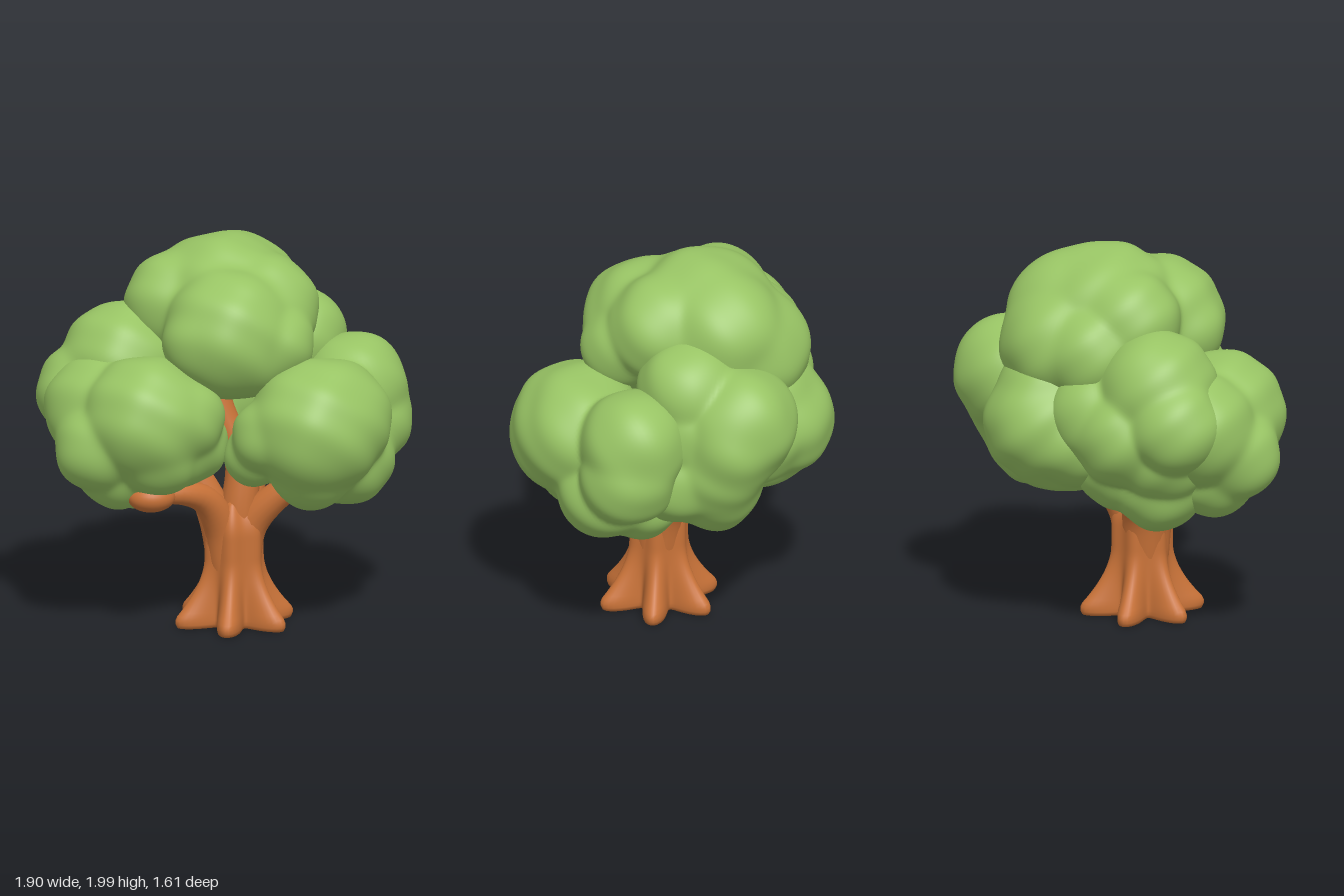
import * as THREE from 'three';
import { mergeVertices } from 'three/addons/utils/BufferGeometryUtils.js';

// Weld vertices and rebuild soft normals
function smooth(geometry) {
  geometry.deleteAttribute('uv');
  geometry.deleteAttribute('normal');
  const g = mergeVertices(geometry, 1e-4);
  g.computeVertexNormals();
  return g;
}

// Foliage clump: a sphere pushed out to the soft union of its lobes [x, y, z, radius]
function clumpGeometry(lobes) {
  const centre = new THREE.Vector3();
  lobes.forEach(([x, y, z]) => centre.add(new THREE.Vector3(x, y, z)));
  centre.divideScalar(lobes.length);
  const offsets = lobes.map(([x, y, z]) => new THREE.Vector3(x, y, z).sub(centre));
  const g = new THREE.IcosahedronGeometry(1, 26);
  const p = g.attributes.position;
  const d = new THREE.Vector3();
  const sharpness = 60;
  for (let i = 0; i < p.count; i++) {
    d.fromBufferAttribute(p, i).normalize();
    let sum = Math.exp(sharpness * 0.12);
    offsets.forEach((o, j) => {
      const along = d.dot(o);
      const disc = along * along - o.lengthSq() + lobes[j][3] ** 2;
      if (disc > 0) sum += Math.exp(sharpness * (along + Math.sqrt(disc)));
    });
    const reach = Math.log(sum) / sharpness - 0.006;
    d.multiplyScalar(reach).add(centre);
    // gentle leafy unevenness
    const bump = 0.008 * Math.sin(d.x * 17 + d.y * 9) * Math.sin(d.y * 15 - d.z * 13);
    d.sub(centre).multiplyScalar(1 + bump / reach).add(centre);
    p.setXYZ(i, d.x, d.y, d.z);
  }
  return smooth(g);
}

// Trunk: cylinder whose radius swells into six roots at the ground
// and closes in at the top between the branches
function trunkGeometry() {
  const height = 0.66;
  const g = new THREE.CylinderGeometry(1, 1, height, 112, 33);
  const p = g.attributes.position;
  for (let i = 0; i < p.count; i++) {
    const x = p.getX(i), z = p.getZ(i), y = p.getY(i) + height / 2;
    const angle = Math.atan2(z, x);
    const flare = Math.max(0, 1 - Math.max(0, y - 0.05) / 0.3) ** 1.8;
    const ridge = (0.5 + 0.5 * Math.cos(6 * (angle - 0.96))) ** 1.1;
    const r = 0.138 + 0.012 * flare + (0.022 + 0.15 * flare) * ridge
      - 0.07 * Math.max(0, (y - 0.48) / 0.18) ** 2 - (y < 0.01 ? 0.01 : 0);
    p.setXYZ(i, x * r, y, z * r);
  }
  return smooth(g);
}

// Branch: tube along a curve, tapering from r0 to r1
function branchGeometry(points, r0, r1) {
  const curve = new THREE.CatmullRomCurve3(points.map((q) => new THREE.Vector3(...q)));
  const rings = 20, sides = 16;
  const g = new THREE.TubeGeometry(curve, rings, r0, sides);
  const p = g.attributes.position;
  const v = new THREE.Vector3();
  for (let i = 0; i < p.count; i++) {
    const t = Math.floor(i / (sides + 1)) / rings;
    const c = curve.getPointAt(t);
    v.fromBufferAttribute(p, i).sub(c).multiplyScalar(1 + (r1 / r0 - 1) * t).add(c);
    p.setXYZ(i, v.x, v.y, v.z);
  }
  return smooth(g);
}

const clumps = {
  crownFoliage: [
    [0.02, 1.6, -0.13, 0.4], [-0.04, 1.55, 0.17, 0.34], [0.14, 1.62, -0.26, 0.33],
    [-0.22, 1.64, -0.16, 0.27], [0.06, 1.5, -0.38, 0.32], [0.02, 1.46, 0.22, 0.24],
    [0.19, 1.64, 0.05, 0.28], [-0.2, 1.52, 0.22, 0.2], [0.18, 1.5, 0.27, 0.2],
    [-0.17, 1.5, -0.36, 0.25],
  ],
  frontRightFoliage: [
    [-0.5, 1.15, 0.22, 0.33], [-0.66, 1.15, -0.05, 0.29], [-0.73, 1.0, 0.14, 0.23],
    [-0.6, 0.88, 0.08, 0.23], [-0.3, 0.99, 0.18, 0.22], [-0.46, 0.96, 0.27, 0.21],
    [-0.32, 1.15, 0.27, 0.22], [-0.22, 0.97, 0.15, 0.18],
  ],
  frontLeftFoliage: [
    [0.33, 1.1, 0.46, 0.35], [0.65, 1.2, 0.1, 0.28], [0.7, 1.03, 0.12, 0.25],
    [0.55, 0.88, 0.26, 0.26], [0.09, 1.06, 0.41, 0.19], [0.45, 0.8, 0.1, 0.22],
    [0.43, 1.13, 0.42, 0.31], [0.4, 1.0, 0.55, 0.19], [0.05, 0.93, 0.3, 0.16],
    [0.32, 0.89, 0.44, 0.23],
  ],
  backRightFoliage: [
    [-0.5, 1.35, -0.19, 0.31], [-0.69, 1.2, -0.22, 0.25], [-0.43, 1.12, -0.35, 0.27],
    [-0.45, 0.82, -0.14, 0.24], [-0.24, 1.2, -0.38, 0.26], [-0.56, 1.02, -0.2, 0.24],
    [-0.28, 0.9, -0.27, 0.22],
  ],
  backLeftFoliage: [
    [0.44, 1.27, -0.41, 0.3], [0.52, 1.17, -0.38, 0.25], [0.48, 1.02, -0.3, 0.26],
    [0.42, 0.88, -0.28, 0.23], [0.41, 1.42, -0.14, 0.27], [0.5, 0.97, -0.1, 0.25],
    [0.38, 0.84, -0.12, 0.19], [0.48, 1.22, -0.15, 0.24],
  ],
  backFoliage: [
    [0.04, 1.11, -0.52, 0.3], [0.06, 1.26, -0.47, 0.26], [0.05, 0.96, -0.44, 0.23],
    [-0.12, 1.04, -0.44, 0.24], [0.22, 1.1, -0.44, 0.26], [-0.03, 0.94, -0.35, 0.2],
  ],
};

// Each branch: path, start radius, end radius
const branches = {
  frontRightBranch: [[[-0.02, 0.3, 0.11], [-0.07, 0.52, 0.13], [-0.17, 0.68, 0.18], [-0.3, 0.74, 0.23], [-0.48, 0.75, 0.26]], 0.11, 0.045],
  rightBranch: [[[-0.02, 0.3, 0.1], [-0.08, 0.55, 0.09], [-0.18, 0.78, 0.05], [-0.38, 1.0, 0]], 0.11, 0.055],
  frontLeftBranch: [[[0.03, 0.3, 0.11], [0.08, 0.52, 0.14], [0.19, 0.67, 0.21], [0.38, 0.82, 0.32]], 0.11, 0.055],
  backLeftBranch: [[[0.03, 0.3, 0.09], [0.08, 0.56, 0.04], [0.18, 0.78, -0.1], [0.34, 1.0, -0.26]], 0.11, 0.06],
  backRightBranch: [[[-0.01, 0.3, 0.09], [-0.06, 0.56, 0.03], [-0.17, 0.76, -0.1], [-0.34, 0.98, -0.25]], 0.11, 0.055],
  crownBranch: [[[0.01, 0.3, 0.1], [0.03, 0.6, 0.12], [0.05, 0.85, 0.1], [-0.04, 1.1, 0.05], [-0.1, 1.4, 0]], 0.11, 0.06],
};

export function createModel() {
  const bark = new THREE.MeshStandardMaterial({ color: 0xc87238 });
  bark.name = 'bark';
  const leaves = new THREE.MeshStandardMaterial({ color: 0x98c464 });
  leaves.name = 'leaves';

  const model = new THREE.Group();
  model.name = 'tree';
  const add = (name, geometry, material) => {
    const mesh = new THREE.Mesh(geometry, material);
    mesh.name = name;
    model.add(mesh);
    return mesh;
  };

  add('trunk', trunkGeometry(), bark).position.set(0.01, 0, 0.1);
  for (const [name, [path, r0, r1]] of Object.entries(branches)) {
    add(name, branchGeometry(path, r0, r1), bark);
  }

  // Swollen end of the low branch
  const knot = add('branchKnot', new THREE.SphereGeometry(1, 32, 20), bark);
  knot.position.set(-0.48, 0.745, 0.25);
  knot.scale.set(0.125, 0.08, 0.11);

  for (const [name, lobes] of Object.entries(clumps)) {
    add(name, clumpGeometry(lobes), leaves);
  }
  return model;
}
